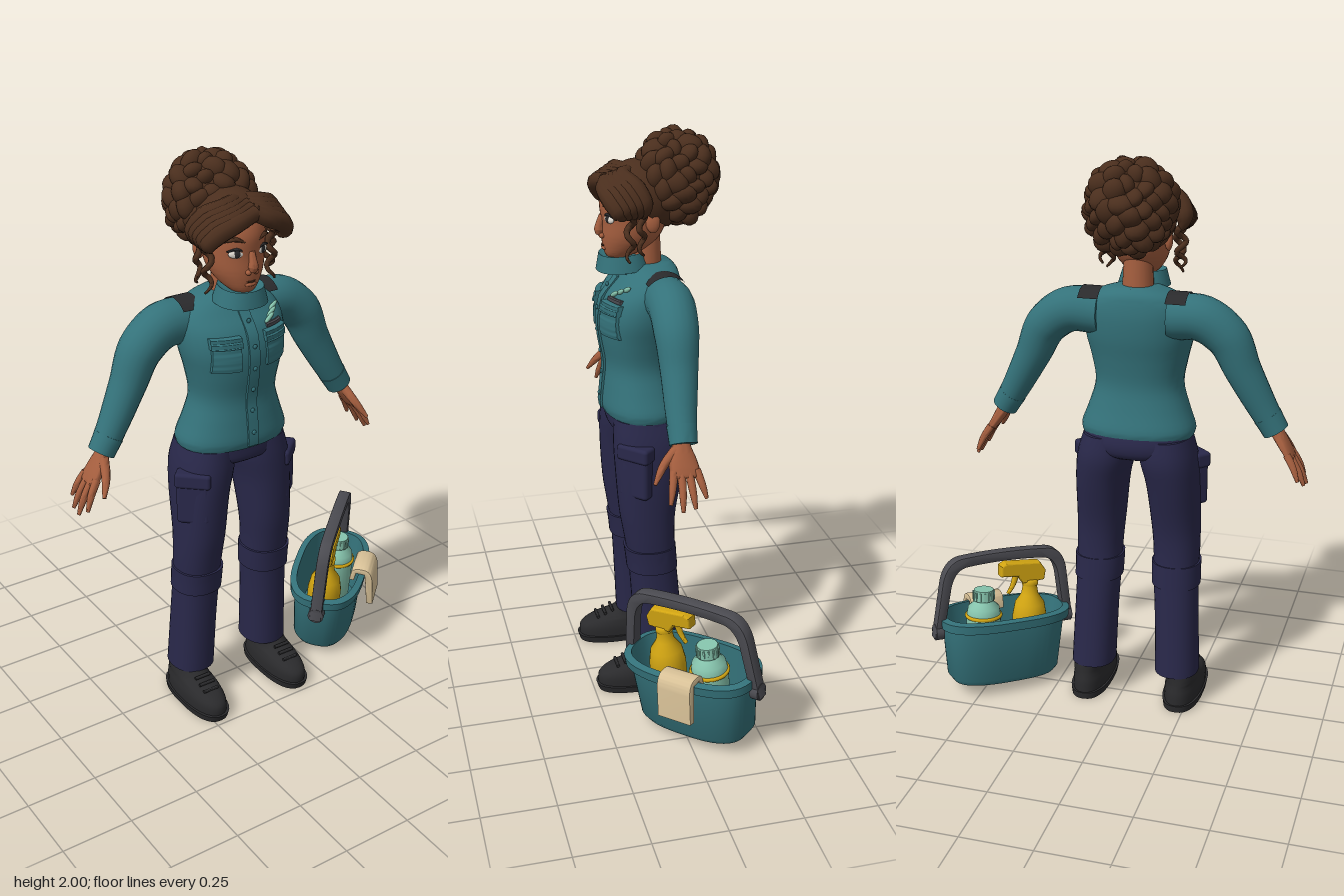
import * as THREE from 'three';
import { toCreasedNormals } from 'three/addons/utils/BufferGeometryUtils.js';
import { RoundedBoxGeometry } from 'three/addons/geometries/RoundedBoxGeometry.js';

const mat = (name, color) => Object.assign(new THREE.MeshStandardMaterial({ color, side: THREE.DoubleSide }), { name });
const M = {
  teal: mat('teal', 0x34727a), navy: mat('navy', 0x29284a), skin: mat('skin', 0xa65f3f), hair: mat('hair brown', 0x4a2e1d),
  black: mat('black', 0x2a2a2c), grey: mat('grey', 0x4b4b51), yellow: mat('yellow', 0xd2a512), mint: mat('mint', 0x86c4ad),
  cream: mat('cream', 0xd9c298), white: mat('white', 0xece6dc),
};
const V = (x, y, z) => new THREE.Vector3(x, y, z);

function add(parent, name, geo, material, pos = [0, 0, 0], rot = [0, 0, 0], scale = [1, 1, 1]) {
  const m = new THREE.Mesh(geo, material);
  m.name = name;
  m.position.set(...pos);
  m.rotation.set(...rot);
  m.scale.set(...scale);
  parent.add(m);
  return m;
}

// Closed skin over a stack of rings, capped at both ends
function skin(rings, crease = 0.9) {
  const n = rings[0].length, pos = [], idx = [];
  rings.forEach(r => r.forEach(p => pos.push(p.x, p.y, p.z)));
  for (let i = 0; i < rings.length - 1; i++) for (let j = 0; j < n; j++) {
    const a = i * n + j, b = i * n + (j + 1) % n;
    idx.push(a, a + n, b, b, a + n, b + n);
  }
  [0, rings.length - 1].forEach((i, end) => {
    const c = V(0, 0, 0);
    rings[i].forEach(p => c.addScaledVector(p, 1 / n));
    const k = pos.push(c.x, c.y, c.z) / 3 - 1;
    for (let j = 0; j < n; j++) {
      const a = i * n + j, b = i * n + (j + 1) % n;
      idx.push(...(end ? [k, b, a] : [k, a, b]));
    }
  });
  const g = new THREE.BufferGeometry();
  g.setAttribute('position', new THREE.Float32BufferAttribute(pos, 3));
  g.setIndex(idx);
  return toCreasedNormals(g, crease);
}

// Smooth rows [y, centre x, half width, front z, back z]
function dense(rows, k = 4) {
  const out = [], at = i => rows[Math.min(Math.max(i, 0), rows.length - 1)];
  for (let i = 0; i < rows.length - 1; i++) for (let s = 0; s < k; s++) {
    const t = s / k;
    out.push(at(i).map((b, q) => {
      const a = at(i - 1)[q], c = at(i + 1)[q], d = at(i + 2)[q];
      return b + 0.5 * t * (c - a + t * (2 * a - 5 * b + 4 * c - d + t * (3 * (b - c) + d - a)));
    }));
  }
  return [...out, rows[rows.length - 1]];
}
const spow = (v, p) => Math.sign(v) * Math.abs(v) ** p;
function loft(rows, p = 0.9, n = 32, crease = 0.9) {
  return skin(rows.map(([y, cx, rx, zf, zb]) => Array.from({ length: n }, (_, j) => {
    const t = j / n * Math.PI * 2;
    return V(cx + rx * spow(Math.cos(t), p), y, (zf + zb) / 2 + (zf - zb) / 2 * spow(Math.sin(t), p));
  })), crease);
}
// Front z of a loft at (x, y)
function frontZ(rows, p, x, y) {
  const r = rows.reduce((a, b) => Math.abs(b[0] - y) < Math.abs(a[0] - y) ? b : a);
  const u = Math.min(Math.abs((x - r[1]) / r[2]), 1);
  return (r[3] + r[4]) / 2 + (r[3] - r[4]) / 2 * (1 - u ** (2 / p)) ** (p / 2);
}
// Round tube with a varying radius
function sweep(points, radii, n = 12, steps = 20) {
  const curve = new THREE.CatmullRomCurve3(points.map(p => V(...p)));
  const f = curve.computeFrenetFrames(steps, false), rings = [];
  for (let i = 0; i <= steps; i++) {
    const c = curve.getPoint(i / steps), q = i / steps * (radii.length - 1), k = Math.min(Math.floor(q), radii.length - 2);
    const r = radii[k] + (radii[k + 1] - radii[k]) * (q - k);
    rings.push(Array.from({ length: n }, (_, j) => {
      const t = j / n * Math.PI * 2;
      return c.clone().addScaledVector(f.normals[i], r * Math.cos(t)).addScaledVector(f.binormals[i], -r * Math.sin(t));
    }));
  }
  return skin(rings);
}
const ball = new THREE.SphereGeometry(1, 14, 10);

const TORSO = dense([[1.03, 0, 0.196, 0.165, -0.105], [1.06, 0, 0.2, 0.172, -0.11], [1.13, 0, 0.175, 0.165, -0.09],
  [1.21, 0, 0.154, 0.158, -0.075], [1.3, 0, 0.168, 0.172, -0.085], [1.38, 0, 0.187, 0.176, -0.1], [1.45, 0, 0.19, 0.155, -0.105],
  [1.5, 0, 0.175, 0.115, -0.1], [1.535, 0, 0.135, 0.085, -0.09], [1.555, 0, 0.075, 0.06, -0.07]]);
const HEAD = dense([[1.572, 0, 0.025, 0.135, 0.08], [1.585, 0, 0.045, 0.148, 0.05], [1.61, 0, 0.068, 0.156, 0], [1.65, 0, 0.09, 0.16, -0.04],
  [1.7, 0, 0.1, 0.16, -0.06], [1.77, 0, 0.1, 0.165, -0.07], [1.83, 0, 0.085, 0.14, -0.06], [1.87, 0, 0.04, 0.09, -0.01]], 6);

// Thin panel laid on the front of the shirt
function drape(parent, name, w, h, d, x, y, material) {
  const g = new THREE.BoxGeometry(w, h, d, 6, 20, 1), a = g.attributes.position;
  for (let i = 0; i < a.count; i++) {
    const px = a.getX(i) + x, py = a.getY(i) + y;
    a.setXYZ(i, px, py, a.getZ(i) + frontZ(TORSO, 0.9, px, py));
  }
  g.computeVertexNormals();
  add(parent, name, g, material);
}

function buildTorso(b) {
  add(b, 'shirt', loft(TORSO), M.teal);
  add(b, 'neck', new THREE.CylinderGeometry(0.048, 0.055, 0.14, 20), M.skin, [0, 1.585, 0.01]);
  add(b, 'collar', loft([[1.53, 0, 0.09, 0.088, -0.088], [1.585, 0, 0.074, 0.075, -0.075], [1.575, 0, 0.06, 0.058, -0.06]]), M.teal, [0, 0.01, 0], [0.06, 0, 0]);
  drape(b, 'button placket', 0.04, 0.47, 0.014, 0, 1.275, M.teal);
  for (let i = 0; i < 6; i++) {
    const y = 1.09 + i * 0.078;
    add(b, 'button', ball, M.teal, [0, y, frontZ(TORSO, 0.9, 0, y) + 0.008], [0, 0, 0], [0.008, 0.008, 0.005]);
  }
  for (const s of [-1, 1]) {
    drape(b, 'chest pocket', 0.09, 0.1, 0.02, s * 0.095, 1.375, M.teal);
    drape(b, 'pocket flap', 0.098, 0.035, 0.032, s * 0.095, 1.425, M.teal);
    const flap = new THREE.Shape([[0, 0], [s * 0.062, 0.035], [s * 0.05, -0.03]].map(p => new THREE.Vector2(...p)));
    add(b, 'collar flap', new THREE.ExtrudeGeometry(flap, { depth: 0.012, bevelEnabled: false }), M.teal, [s * 0.008, 1.555, 0.085], [-0.45, s * 0.3, 0]);
    add(b, 'shoulder patch', new THREE.CylinderGeometry(0.086, 0.086, 0.07, 20, 1, true, -0.85, 1.7), M.black, [s * 0.15, 1.46, -0.02], [Math.PI / 2, 0, Math.PI / 2, 'XYZ']);
    b.children[b.children.length - 1].quaternion.setFromRotationMatrix(new THREE.Matrix4().makeBasis(V(0, 0, -1), V(-1, 0, 0), V(0, 1, 0)));
  }
  drape(b, 'badge bar', 0.07, 0.014, 0.014, 0.1, 1.452, M.grey);
  for (let i = 0; i < 3; i++) {
    const x = 0.085 + i * 0.018, y = 1.47 + i * 0.011;
    add(b, 'badge feather', ball, M.mint, [x, y, frontZ(TORSO, 0.9, x, y) + 0.002], [0, 0.3, 0.5], [0.026, 0.008, 0.007]);
  }
}

function buildArm(b, s) {
  add(b, 'sleeve', sweep([[s * 0.12, 1.46, -0.02], [s * 0.23, 1.46, -0.02], [s * 0.315, 1.4, -0.015], [s * 0.37, 1.29, -0.01], [s * 0.437, 1.165, 0], [s * 0.484, 1.085, 0.005]],
    [0.078, 0.078, 0.074, 0.062, 0.051, 0.044], 20, 30), M.teal);
  add(b, 'cuff', sweep([[s * 0.454, 1.135, 0.003], [s * 0.486, 1.082, 0.005]], [0.05, 0.046], 20, 2), M.teal);
  const hand = new THREE.Group();
  hand.name = 'hand';
  hand.position.set(s * 0.477, 1.095, 0.012);
  hand.rotation.z = s * 0.56;
  b.add(hand);
  add(hand, 'palm', loft(dense([[-0.125, 0, 0.011, 0.046, -0.05], [-0.1, 0, 0.016, 0.05, -0.05], [-0.06, 0, 0.02, 0.046, -0.042], [-0.02, 0, 0.023, 0.032, -0.03], [0.02, 0, 0.025, 0.03, -0.03]]), 1, 20, 1.5), M.skin);
  [[0.036, 0.058, 0.205], [0.012, 0.02, 0.232], [-0.013, -0.022, 0.225], [-0.038, -0.062, 0.195]].forEach(([z0, z1, l]) =>
    add(hand, 'finger', sweep([[0, -0.1, z0], [0, -l * 0.75, (z0 + z1) / 2], [s * -0.008, -l, z1]], [0.014, 0.013, 0.011, 0.006], 10, 10), M.skin));
  add(hand, 'thumb', sweep([[0, -0.03, 0.02], [s * -0.008, -0.075, 0.064], [s * -0.012, -0.135, 0.1]], [0.018, 0.016, 0.013, 0.006], 10, 10), M.skin);
}

function buildLeg(b, s) {
  const rows = dense([[0.13, 0.158, 0.079, 0.09, -0.09], [0.35, 0.15, 0.078, 0.1, -0.072], [0.5, 0.143, 0.08, 0.11, -0.06], [0.6, 0.142, 0.082, 0.125, -0.055],
    [0.7, 0.137, 0.086, 0.14, -0.062], [0.85, 0.128, 0.093, 0.15, -0.095], [0.95, 0.112, 0.1, 0.152, -0.112], [1.03, 0.1, 0.09, 0.145, -0.1]])
    .map(([y, x, ...r]) => [y, s * x, ...r]);
  add(b, 'trouser leg', loft(rows), M.navy);
  const knee = rows.filter(r => r[0] > 0.44 && r[0] < 0.56).map(([y, x, w, f, k]) => [y, x, w + 0.007, f + 0.008, k - 0.003]);
  add(b, 'knee panel', loft(knee), M.navy);
  add(b, 'cargo pocket', new RoundedBoxGeometry(0.115, 0.19, 0.05, 3, 0.015), M.navy, [s * 0.187, 0.86, 0.09], [0, s * 0.75, 0]);
  add(b, 'cargo flap', new RoundedBoxGeometry(0.125, 0.055, 0.06, 3, 0.012), M.navy, [s * 0.187, 0.93, 0.091], [0, s * 0.75, 0]);
  // Shoe with a flat sole
  const x = s * 0.175, x2 = s * 0.165;
  add(b, 'sole', loft([[0, x, 0.068, 0.232, -0.1], [0.025, x, 0.072, 0.24, -0.102]], 0.8), M.black);
  add(b, 'shoe', loft(dense([[0.02, x, 0.066, 0.232, -0.098], [0.06, x, 0.066, 0.23, -0.096], [0.088, x, 0.06, 0.19, -0.09], [0.11, x, 0.056, 0.11, -0.086], [0.17, x2, 0.054, 0.06, -0.08]]), 0.9, 28, 1.2), M.black);
  for (let i = 0; i < 3; i++) add(b, 'lace', sweep([[x - 0.03, 0.096 + i * 0.012, 0.165 - i * 0.028], [x + 0.03, 0.096 + i * 0.012, 0.165 - i * 0.028]], [0.006, 0.006], 8, 2), M.black);
}

function buildHead(b) {
  add(b, 'face', loft(HEAD, 1, 36, 1.5), M.skin);
  add(b, 'nose', sweep([[0, 1.72, 0.158], [0, 1.68, 0.168], [0, 1.655, 0.168]], [0.01, 0.013, 0.017, 0.012]), M.skin);
  add(b, 'mouth', sweep([[-0.028, 1.624, 0.146], [0, 1.617, 0.158], [0.028, 1.624, 0.146]], [0.002, 0.004, 0.002], 8, 10), M.hair);
  add(b, 'lower lip', ball, M.skin, [0, 1.608, 0.153], [0, 0, 0], [0.022, 0.007, 0.008]);
  for (const s of [-1, 1]) {
    const z = frontZ(HEAD, 1, 0.05, 1.715), tilt = [0, s * 0.4, 0];
    add(b, 'nostril', ball, M.skin, [s * 0.014, 1.652, 0.162], [0, 0, 0], [0.01, 0.009, 0.01]);
    add(b, 'eye', ball, M.white, [s * 0.05, 1.715, z - 0.002], tilt, [0.025, 0.014, 0.008]);
    add(b, 'pupil', ball, M.black, [s * 0.049, 1.716, z + 0.003], tilt, [0.012, 0.013, 0.005]);
    add(b, 'eyelash', sweep([[s * 0.026, 1.722, z + 0.008], [s * 0.05, 1.732, z + 0.004], [s * 0.077, 1.724, z - 0.013]], [0.003, 0.005, 0.003], 8, 8), M.black);
    add(b, 'eyebrow', sweep([[s * 0.022, 1.752, z + 0.012], [s * 0.055, 1.765, z + 0.003], [s * 0.083, 1.754, z - 0.022]], [0.004, 0.008, 0.003], 8, 8), M.hair);
    add(b, 'ear', ball, M.skin, [s * 0.104, 1.71, 0.01], [0, s * -0.3, 0], [0.014, 0.036, 0.024]);
    // Swept fringe, then loose curls
    for (let k = 0; k < 5; k++) add(b, 'fringe lock', sweep([[0.02, 1.862 - k * 0.006, 0.06 + k * 0.022], [s * 0.06, 1.858 - k * 0.01, 0.1 + k * 0.015],
      [s * 0.125, 1.828 - k * 0.01, 0.07 + k * 0.019], [s * 0.15, 1.775 - k * 0.006, 0.045 + k * 0.02], [s * 0.132, 1.735, 0.05 + k * 0.016]], [0.026, 0.03, 0.033, 0.028, 0.008], 10, 16), M.hair);
    for (let k = 0; k < 2; k++) {
      const pts = Array.from({ length: 13 }, (_, i) => [s * (0.122 + k * 0.014 + 0.014 * Math.sin(i * 1.15 + k * 2)), 1.76 - i * (0.0145 - k * 0.002), 0.09 - k * 0.035 + 0.012 * Math.cos(i * 1.15 + k)]);
      add(b, 'loose curl', sweep(pts, [0.013, 0.011, 0.01, 0.009, 0.004], 8, 36), M.hair);
    }
  }
  add(b, 'swept hair', new THREE.SphereGeometry(1, 32, 20, 0, Math.PI * 2, 0, Math.PI * 0.6), M.hair, [0, 1.775, 0.02], [-0.6, 0, 0], [0.125, 0.12, 0.135]);
  // Bun: a core covered in plump curls
  add(b, 'bun core', ball, M.hair, [0, 1.835, -0.09], [0, 0, 0], [0.135, 0.14, 0.125]);
  const N = 90;
  for (let i = 0; i < N; i++) {
    const y = 1 - 2 * (i + 0.5) / N, r = Math.sqrt(1 - y * y), a = i * 2.39996, k = 0.036 + 0.007 * Math.sin(i * 5.3);
    add(b, 'bun curl', ball, M.hair, [0.127 * r * Math.cos(a), 1.833 + 0.13 * y, -0.092 + 0.115 * r * Math.sin(a)], [i * 1.3, i * 2.1, i * 0.7], [k * 1.15, k * 0.8, k]);
  }
}

function buildBasket() {
  const g = new THREE.Group();
  g.name = 'cleaning basket';
  g.position.set(0.455, 0.012, -0.055);
  g.rotation.set(0.1, 0.73, 0);
  add(g, 'tub', loft([[0.025, 0, 0.195, 0.1, -0.1], [0.045, 0, 0.21, 0.112, -0.112], [0.24, 0, 0.23, 0.122, -0.122], [0.243, 0, 0.248, 0.138, -0.138],
    [0.275, 0, 0.25, 0.14, -0.14], [0.28, 0, 0.226, 0.116, -0.116], [0.06, 0, 0.2, 0.1, -0.1]], 0.72, 48, 0.6), M.teal);
  // Arched carrying handle
  const arch = (s, w, top, r) => {
    s.moveTo(-w - 0.015, 0.21).lineTo(-w + 0.015, top - r).quadraticCurveTo(-w + 0.03, top - 0.012, -w + r, top - 0.006);
    s.quadraticCurveTo(0, top + 0.008, w - r, top - 0.006).quadraticCurveTo(w - 0.03, top - 0.012, w - 0.015, top - r).lineTo(w + 0.015, 0.21);
    return s;
  };
  const outer = arch(new THREE.Shape(), 0.255, 0.505, 0.09), inner = arch(new THREE.Path(), 0.229, 0.477, 0.08).getPoints(10).reverse();
  inner.forEach(p => outer.lineTo(p.x, p.y));
  const band = new THREE.ExtrudeGeometry(outer, { depth: 0.036, bevelEnabled: true, bevelSize: 0.004, bevelThickness: 0.004, bevelSegments: 2, curveSegments: 10 });
  add(g, 'handle', toCreasedNormals(band, 0.6), M.grey, [0, 0, -0.018]);
  for (const s of [-1, 1]) add(g, 'handle pivot', new THREE.CylinderGeometry(0.03, 0.03, 0.03, 20), M.grey, [s * 0.254, 0.225, 0], [0, 0, Math.PI / 2]);
  // Spray bottle
  const lathe = pts => new THREE.LatheGeometry(pts.map(p => new THREE.Vector2(...p)), 24);
  add(g, 'spray bottle', lathe([[0, 0.06], [0.062, 0.06], [0.064, 0.24], [0.055, 0.29], [0.032, 0.325], [0.026, 0.36], [0.03, 0.362], [0.03, 0.385], [0, 0.385]]), M.yellow, [-0.105, 0, 0]);
  const spray = new THREE.Shape([[-0.045, 0.385], [-0.05, 0.415], [-0.03, 0.445], [0.1, 0.455], [0.115, 0.447], [0.115, 0.415], [0.05, 0.41], [0.03, 0.38]].map(p => new THREE.Vector2(...p)));
  add(g, 'spray head', new THREE.ExtrudeGeometry(spray, { depth: 0.03, bevelSize: 0.006, bevelThickness: 0.008, bevelSegments: 3 }), M.yellow, [-0.105, 0, -0.015]);
  add(g, 'trigger', sweep([[-0.05, 0.415, 0], [-0.038, 0.37, 0], [-0.018, 0.335, 0]], [0.013, 0.01, 0.007], 10, 8), M.yellow);
  // Round bottle with a ribbed cap
  add(g, 'round bottle', lathe([[0, 0.06], [0.062, 0.06], [0.064, 0.26], [0.058, 0.295], [0.035, 0.315], [0.03, 0.33], [0, 0.33]]), M.mint, [0.075, 0, 0.01]);
  add(g, 'bottle band', new THREE.TorusGeometry(0.063, 0.007, 8, 32), M.yellow, [0.075, 0.262, 0.01], [Math.PI / 2, 0, 0]);
  add(g, 'bottle cap', new THREE.CylinderGeometry(0.036, 0.039, 0.04, 20), M.mint, [0.075, 0.342, 0.01]);
  for (let i = 0; i < 14; i++) {
    const a = i / 14 * Math.PI * 2;
    add(g, 'cap rib', new THREE.BoxGeometry(0.006, 0.034, 0.006), M.mint, [0.075 + 0.038 * Math.cos(a), 0.34, 0.01 + 0.038 * Math.sin(a)], [0, -a, 0]);
  }
  // Cloth folded over the rim
  const fold = new THREE.Shape();
  fold.moveTo(0.085, 0.25).lineTo(0.09, 0.285).quadraticCurveTo(0.1, 0.305, 0.14, 0.3).quadraticCurveTo(0.165, 0.295, 0.17, 0.25).lineTo(0.18, 0.155);
  fold.lineTo(0.162, 0.152).lineTo(0.148, 0.25).lineTo(0.142, 0.283).lineTo(0.104, 0.285).lineTo(0.098, 0.25);
  add(g, 'cloth', toCreasedNormals(new THREE.ExtrudeGeometry(fold, { depth: 0.125, bevelSize: 0.003, bevelThickness: 0.003, bevelSegments: 2 }), 0.7), M.cream, [0.095, 0, 0], [0, -Math.PI / 2, 0]);
  return g;
}

export function createModel() {
  const model = new THREE.Group();
  model.name = 'cleaner with basket';
  const b = new THREE.Group();
  b.name = 'worker';
  b.position.x = -0.05;
  model.add(b, buildBasket());
  buildTorso(b);
  buildHead(b);
  add(b, 'hips', loft(dense([[0.955, 0, 0.13, 0.1, -0.08], [0.975, 0, 0.185, 0.145, -0.108], [1.02, 0, 0.193, 0.152, -0.114], [1.09, 0, 0.178, 0.15, -0.09]])), M.navy);
  for (const s of [-1, 1]) {
    buildArm(b, s);
    buildLeg(b, s);
  }
  return model;
}
